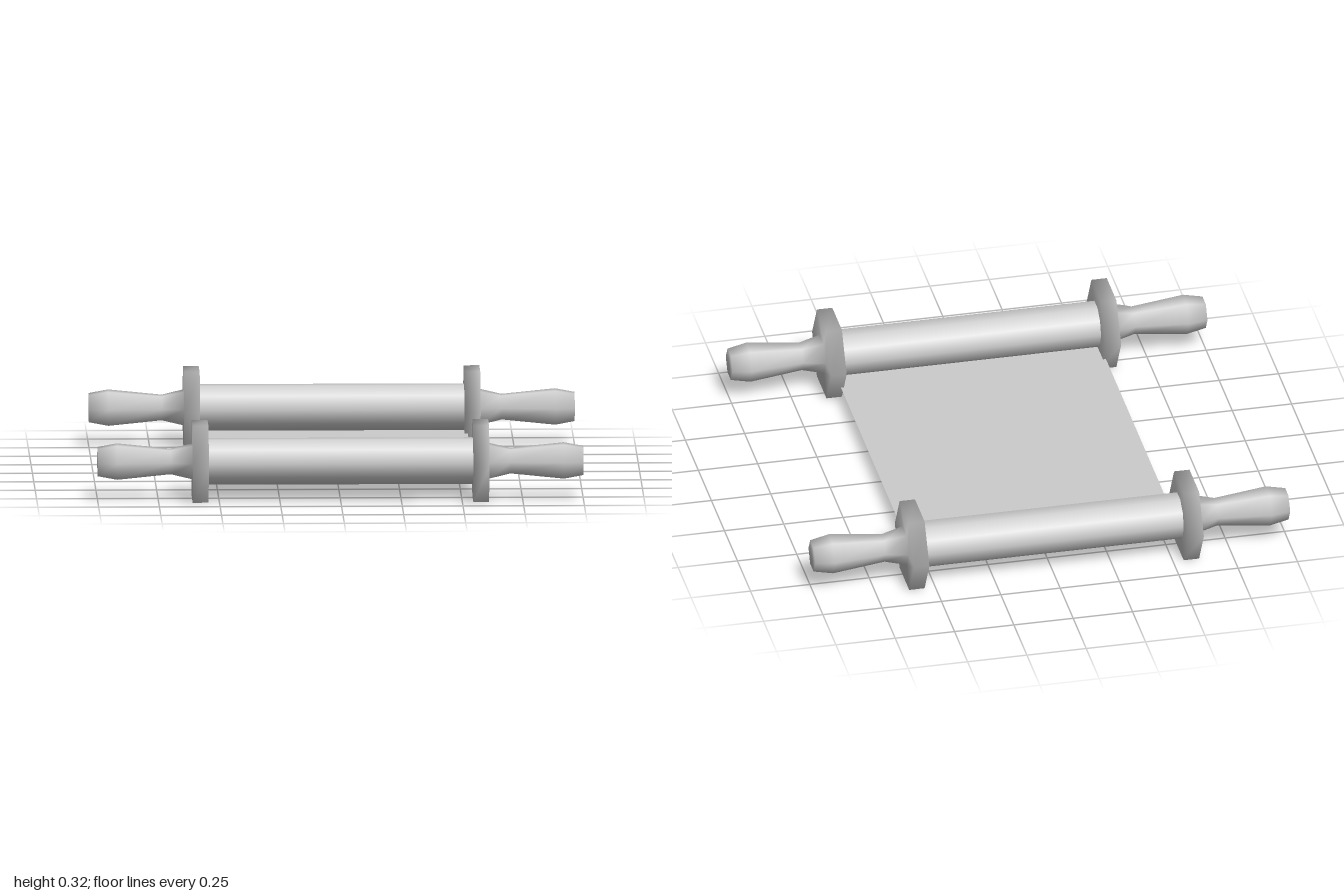
import * as THREE from 'three';

const material = new THREE.MeshStandardMaterial({ color: 0xcccccc, side: THREE.DoubleSide });
const AXIS_Y = 0.16;
const ROLL_Z = 0.793;
const ROLL_R = 0.0975;

// Six-sided end: flat disc, then a waisted handle; pairs are radius, distance from the centre
const endProfile = [
  [0, 0.545], [0.184, 0.545], [0.184, 0.61], [0.08, 0.61],
  [0.057, 0.7], [0.081, 0.92], [0.065, 1], [0, 1],
].map(([r, d]) => new THREE.Vector2(r, d));

function addMesh(parent, name, geometry) {
  const mesh = new THREE.Mesh(geometry, material);
  mesh.name = name;
  parent.add(mesh);
  return mesh;
}

// One rolled rod with a disc and handle at each end
function createRoller(name, z) {
  const roller = new THREE.Group();
  roller.name = name;
  roller.position.set(0, AXIS_Y, z);

  const roll = addMesh(roller, 'paperRoll', new THREE.CylinderGeometry(ROLL_R, ROLL_R, 1.11, 10, 1, true));
  roll.rotation.z = -Math.PI / 2;

  for (const side of [1, -1]) {
    const end = addMesh(roller, side > 0 ? 'leftHandle' : 'rightHandle', new THREE.LatheGeometry(endProfile, 6));
    end.rotation.z = -side * Math.PI / 2;
    end.position.z = side * 0.004;
  }
  return roller;
}

export function createModel() {
  const scroll = new THREE.Group();
  scroll.name = 'scroll';
  scroll.add(createRoller('frontRoller', ROLL_Z), createRoller('backRoller', -ROLL_Z));

  // Flat sheet stretched between the undersides of the rolls
  const sheet = addMesh(scroll, 'sheet', new THREE.PlaneGeometry(1.115, ROLL_Z * 2));
  sheet.rotation.x = -Math.PI / 2;
  sheet.position.y = AXIS_Y - ROLL_R * Math.cos(Math.PI / 10);
  return scroll;
}
